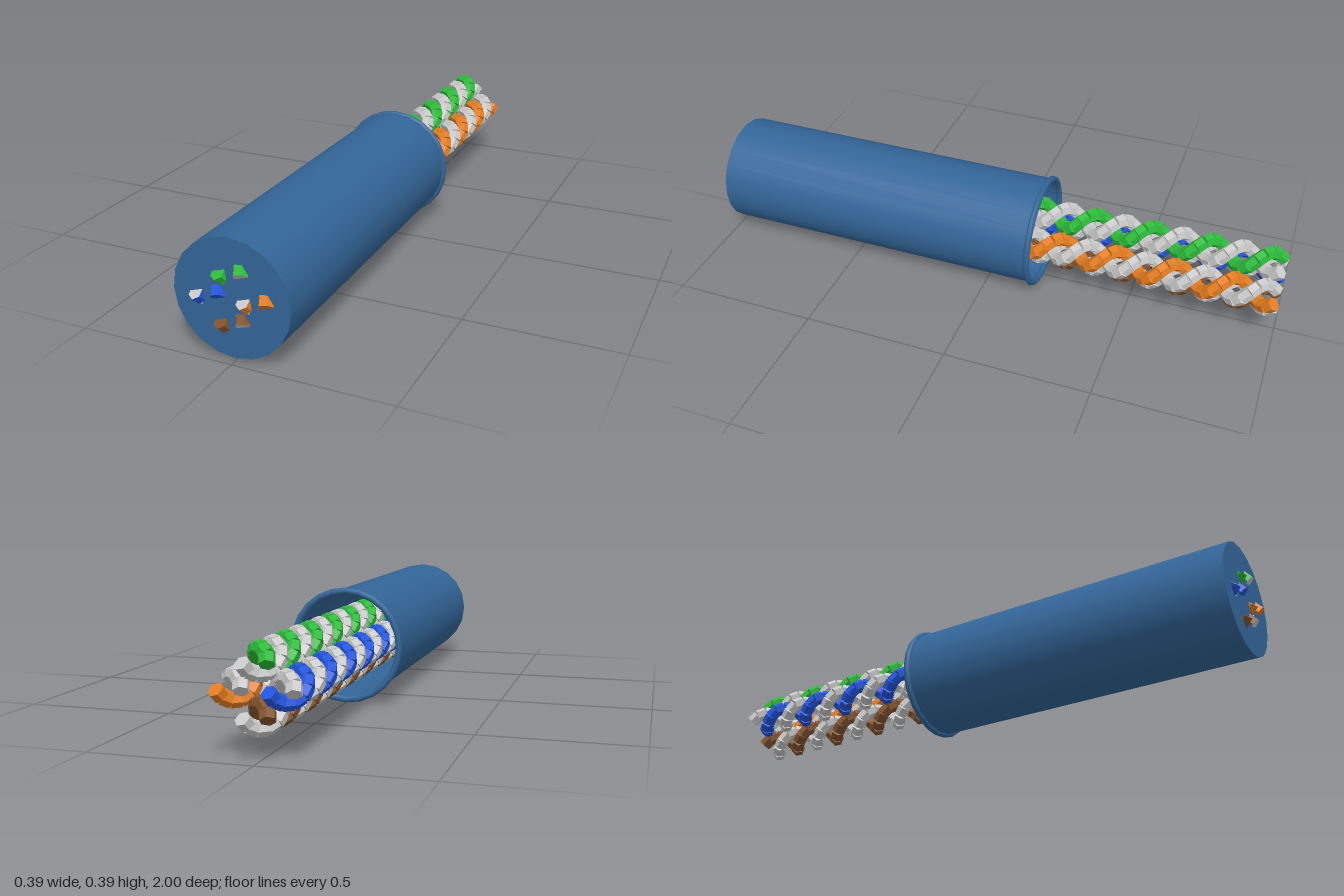
import * as THREE from 'three';
import { mergeGeometries } from 'three/addons/utils/BufferGeometryUtils.js';

const CENTRE_Y = 0.197;
const END = 0.984;        // wire centre lines run from -END to END
const TURNS = 10, STEPS = 10, TWIST = 0.036, WIRE = 0.0235;

const mat = (color, extra = {}) => new THREE.MeshStandardMaterial({ color, ...extra });

// Point on a helix; t = 0 at the front end, 1 at the back end
function helix(t, phase) {
  const a = t * TURNS * Math.PI * 2 + phase;
  return new THREE.Vector3(Math.cos(a) * TWIST, Math.sin(a) * TWIST, END - 2 * END * t);
}

// Short six-sided cylinder between two points
function segment(a, b) {
  const dir = b.clone().sub(a);
  const g = new THREE.CylinderGeometry(WIRE, WIRE, dir.length() * 1.08, 6);
  g.rotateY(Math.PI / 6);
  g.applyQuaternion(new THREE.Quaternion().setFromUnitVectors(new THREE.Vector3(0, 1, 0), dir.normalize()));
  const mid = a.clone().add(b).multiplyScalar(0.5);
  return g.translate(mid.x, mid.y, mid.z);
}

function wire(name, phase, material, tipMaterial) {
  const group = new THREE.Group();
  group.name = name;
  const n = TURNS * STEPS;
  const parts = [];
  for (let i = 0; i < n; i++) parts.push(segment(helix(i / n, phase), helix((i + 1) / n, phase)));
  const tip = new THREE.Mesh(parts.shift(), [tipMaterial, material, material]);
  tip.name = name + 'Tip';
  const strand = new THREE.Mesh(mergeGeometries(parts), material);
  strand.name = name + 'Strand';
  group.add(tip, strand);
  return group;
}

export function createModel() {
  const model = new THREE.Group();
  model.name = 'twistedPairCable';
  const blue = mat(0x336699, { side: THREE.DoubleSide });

  // Jacket: tube open at the back, closed at the front
  const tubeGeo = new THREE.CylinderGeometry(0.185, 0.185, 1.155, 20, 1, true);
  tubeGeo.rotateX(Math.PI / 2);
  const jacket = new THREE.Mesh(tubeGeo, blue);
  jacket.name = 'jacket';
  jacket.position.set(0, CENTRE_Y, 0.4025);
  const cap = new THREE.Mesh(new THREE.CircleGeometry(0.185, 20, Math.PI / 2), blue);
  cap.name = 'jacketFrontCap';
  cap.position.set(0, CENTRE_Y, 0.98);

  // Rolled lip around the open end
  const lip = new THREE.Mesh(new THREE.TorusGeometry(0.185, 0.011, 8, 24), blue);
  lip.name = 'jacketLip';
  lip.position.set(0, CENTRE_Y, -0.175);
  model.add(jacket, cap, lip);

  // Four twisted pairs, each a coloured and a plain wire
  const plain = mat(0xcccccc, { flatShading: true });
  const pairs = [
    ['orange', 0xe67e22, 0.075, 0, 0],
    ['green', 0x2ebd3c, 0, 0.075, Math.PI],
    ['blue', 0x2255e0, -0.075, 0, 0],
    ['brown', 0x855530, 0, -0.075, Math.PI],
  ];
  for (const [name, color, x, y, phase] of pairs) {
    const coloured = mat(color, { flatShading: true });
    const pair = new THREE.Group();
    pair.name = name + 'Pair';
    pair.position.set(x, CENTRE_Y + y, 0);
    pair.add(wire(name + 'Wire', phase, coloured, coloured));
    pair.add(wire(name + 'PlainWire', phase + Math.PI, plain, coloured));
    model.add(pair);
  }
  return model;
}
